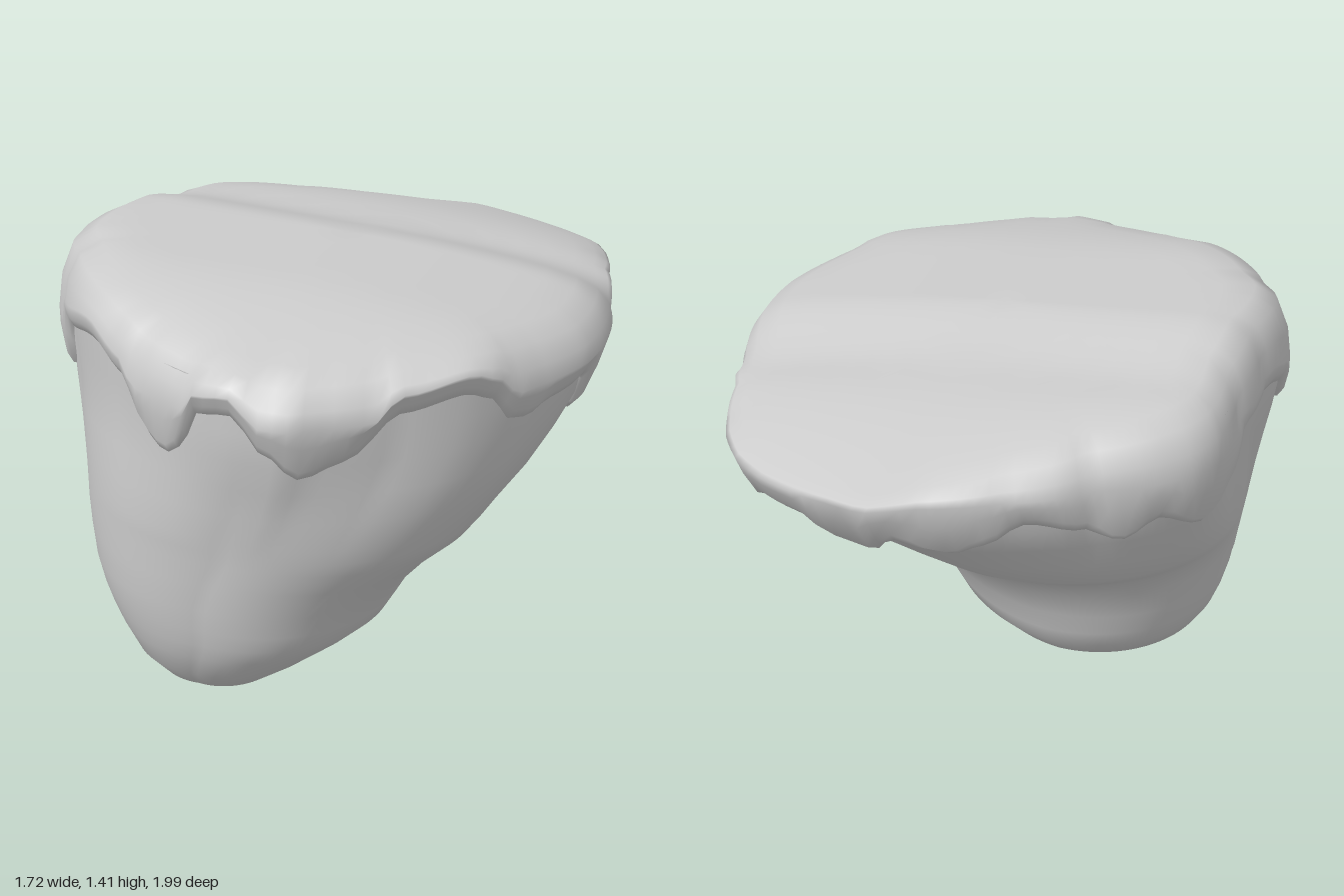
import * as THREE from 'three';

const SEGMENTS = 144;
const { smoothstep, lerp, mapLinear, clamp, degToRad } = THREE.MathUtils;

// Plan outline: angle in degrees (0 = front, 90 = +x) and radius
const OUTLINE = [[0, .99], [10, 1.005], [15, .97], [30, .905], [45, .89], [60, .865], [75, .87], [90, .85],
  [105, .83], [120, .855], [135, .955], [142, .99], [150, 1], [165, 1], [172, 1.01], [180, .94],
  [195, .875], [207, .86], [212, .84], [225, .88], [234, .9], [240, .89], [255, .815], [270, .82],
  [285, .89], [291, .91], [300, .885], [315, .89], [330, .9], [345, .935], [360, .99]];

// Dripping lower edge of the cap: angle and height
const DRIPS = [[0, 1.16], [6, 1.05], [13, .97], [20, 1.02], [30, 1.15], [43, 1.18], [51, 1.14], [54, 1.06],
  [61, 1.04], [67, 1.07], [81, 1.08], [86, .95], [92, .91], [98, .96], [105, 1.07], [117, 1.12], [127, 1.1],
  [130, .98], [135, .92], [140, .95], [147, 1.02], [157, 1.03], [163, .95], [168, .93], [174, 1.03],
  [183, .95], [190, 1.0], [198, 1.06], [209, 1.02], [217, .95], [225, 1.02], [235, .94], [245, 1.02],
  [258, 1.12], [275, 1.15], [283, 1.12], [289, 1.0], [295, .98], [300, 1.15], [321, 1.21], [332, 1.15],
  [340, 1], [344, .965], [348, 1], [353, 1.14], [360, 1.16]];

// Rock extents by height: y, xMin, xMax, zMin, zMax
const SECTIONS = [[0, -.36, -.22, .35, .54], [.015, -.4, -.18, .29, .58], [.05, -.47, -.07, .19, .64],
  [.13, -.555, .05, .02, .715], [.22, -.625, .18, -.15, .76], [.28, -.66, .25, -.205, .78],
  [.34, -.683, .285, -.23, .795], [.42, -.705, .33, -.255, .81], [.52, -.722, .42, -.3, .825],
  [.6, -.737, .515, -.37, .838], [.65, -.747, .555, -.45, .847], [.7, -.757, .59, -.53, .857],
  [.8, -.777, .665, -.65, .88], [.9, -.797, .725, -.76, .905], [1, -.815, .775, -.88, .935],
  [1.1, -.83, .8, -.91, .95], [1.25, -.835, .81, -.92, .955]];

// Interpolates rows keyed by their first number
function sample(rows, key, smooth = false) {
  let i = 1;
  while (i < rows.length - 1 && rows[i][0] < key) i++;
  const a = rows[i - 1], b = rows[i];
  let k = clamp((key - a[0]) / (b[0] - a[0]), 0, 1);
  if (smooth) k = k * k * (3 - 2 * k);
  return a.map((v, n) => v + (b[n] - v) * k);
}

const direction = deg => new THREE.Vector3(Math.sin(degToRad(deg)), 0, Math.cos(degToRad(deg)));

// Point on the plan outline, scaled about the centre
const outlinePoint = (deg, scale = 1) => direction(deg).multiplyScalar(sample(OUTLINE, deg)[1] * scale);

// Upper surface: tilted to +x, stepping down to the back and rounding off at the front
const topHeight = (x, z) => 1.378 - .05 * x - .09 * Math.max(0, x) ** 2
  - .08 * smoothstep(-z, 0, .36) - .135 * smoothstep(-z, .4, 1.15) - .09 * smoothstep(z, .4, 1.05);

// Oval with a fuller +x front quarter and a flattened +x back quarter
function oval(deg) {
  const d = direction(deg), skew = 2 * d.x * d.z;
  const amount = d.x > 0 ? (d.z > 0 ? .07 : .1) : (d.z > 0 ? -.03 : .06);
  return d.multiplyScalar(1 + amount * skew);
}

// Point on the rock wall: oval low down, following the outline near the cap
function rockPoint(deg, y, push = 0) {
  const [, x0, x1, z0, z1] = sample(SECTIONS, y), o = outlinePoint(deg);
  const shape = new THREE.Vector3(mapLinear(o.x, -.86, .85, -1, 1), 0, o.z);
  const p = oval(deg).lerp(shape, smoothstep(y, .65, 1.1));
  p.x = mapLinear(p.x, -1, 1, x0, x1);
  p.z = mapLinear(p.z, -1, 1, z0, z1);
  p.addScaledVector(direction(deg), push);
  p.y = Math.min(y, topHeight(p.x, p.z) - .06);
  return p;
}

// Skins closed rings from bottom to top, with optional end points
function loft(rings, bottom, top) {
  const points = [], index = [], n = SEGMENTS;
  for (const ring of rings)
    for (let j = 0; j < n; j++) points.push(ring(j * 360 / n));
  for (let i = 0; i < rings.length - 1; i++)
    for (let j = 0; j < n; j++) {
      const a = i * n + j, b = i * n + (j + 1) % n;
      index.push(a, b, b + n, a, b + n, a + n);
    }
  const last = (rings.length - 1) * n;
  if (bottom) {
    points.push(bottom);
    for (let j = 0; j < n; j++) index.push((j + 1) % n, j, points.length - 1);
  }
  if (top) {
    points.push(top);
    for (let j = 0; j < n; j++) index.push(last + j, last + (j + 1) % n, points.length - 1);
  }
  const g = new THREE.BufferGeometry().setFromPoints(points);
  g.setIndex(index);
  g.computeVertexNormals();
  return g;
}

// Rim of the cap at its widest
function rimPoint(deg) {
  const p = outlinePoint(deg), edge = sample(DRIPS, deg, true)[1];
  p.y = Math.min(Math.max(1.15, edge + .07), topHeight(p.x, p.z) - .02);
  return p;
}

// Lip of the cap: against the rock at the front, hanging a little free at the back
const lipPoint = (deg, lift, push) => rockPoint(deg, sample(DRIPS, deg, true)[1] + lift,
  push + .04 * Math.max(0, -direction(deg).z));

// Upper cap ring, blending from rim height to the top surface
const topRing = (scale, blend) => deg => {
  const p = outlinePoint(deg, scale);
  p.y = lerp(rimPoint(deg).y, topHeight(p.x, p.z), blend);
  return p;
};

export function createModel() {
  const group = new THREE.Group();
  const material = new THREE.MeshStandardMaterial({ color: 0xcccccc, side: THREE.DoubleSide });
  const add = (name, geometry) => {
    const mesh = new THREE.Mesh(geometry, material);
    mesh.name = name;
    group.add(mesh);
  };

  // Tapering rock leaning towards the front
  add('rock', loft(SECTIONS.map(([y]) => deg => rockPoint(deg, y)), new THREE.Vector3(-.29, 0, .44)));

  // Overhanging cap with drips
  add('cap', loft([
    deg => rockPoint(deg, sample(DRIPS, deg, true)[1], -.01),
    deg => lipPoint(deg, 0, .01),
    deg => lipPoint(deg, .03, .026),
    deg => lipPoint(deg, .05, .034).lerp(rimPoint(deg), .5),
    rimPoint,
    topRing(.985, .38),
    topRing(.94, .77),
    topRing(.86, .95),
    ...[.75, .64, .53, .42, .31, .2, .1].map(s => topRing(s, 1)),
  ], null, new THREE.Vector3(0, topHeight(0, 0), 0)));

  return group;
}
